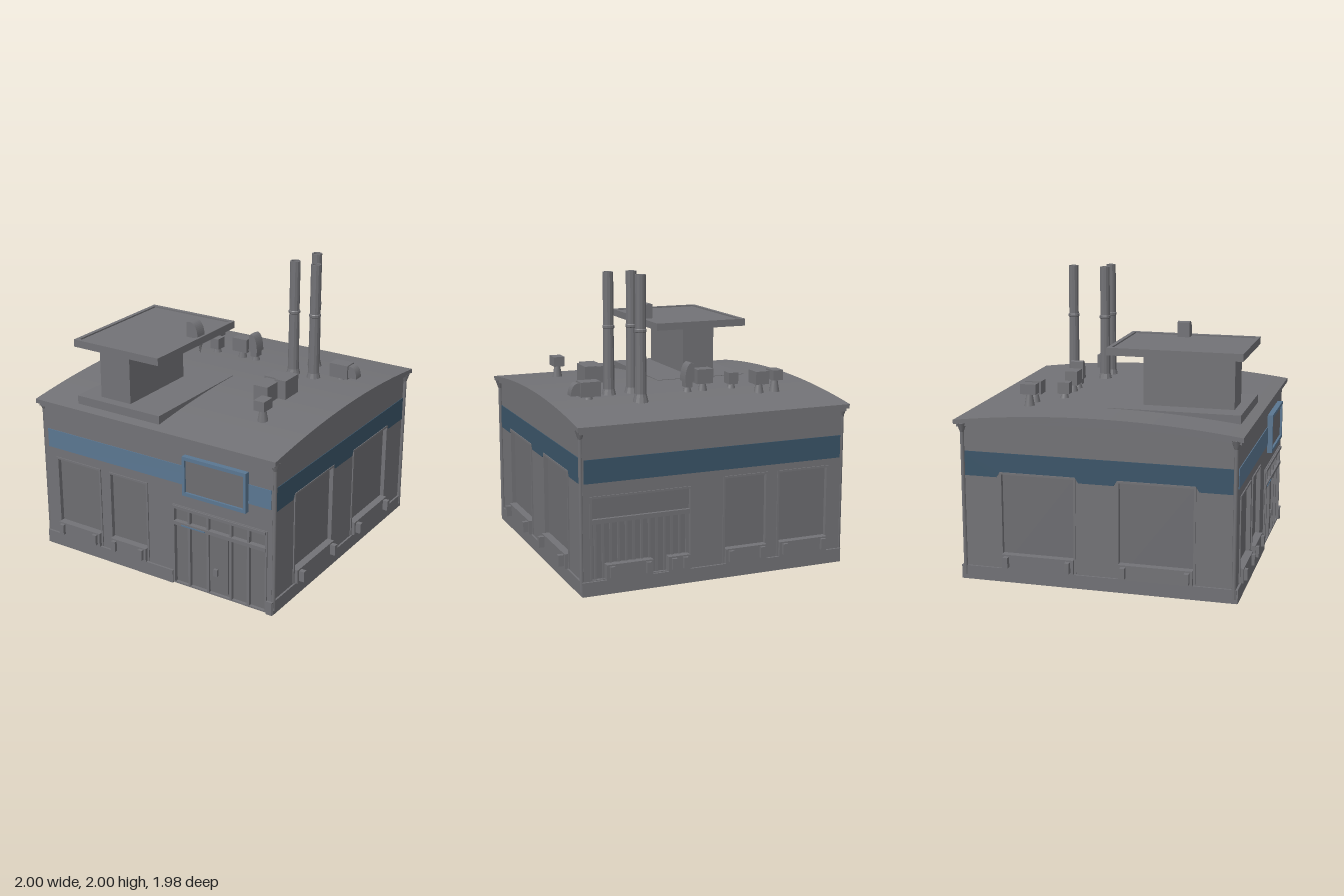
import * as THREE from 'three';

export function createModel() {
  const root = new THREE.Group();
  const mat = (name, color) => {
    const m = new THREE.MeshStandardMaterial({ color });
    m.name = name;
    return m;
  };
  const grey = mat('wall grey', 0x727276);
  const panelGrey = mat('panel grey', 0x6d6d71);
  const lightBlue = mat('front band blue', 0x5a7691);
  const darkBlue = mat('side band blue', 0x3a5468);

  const add = (parent, name, geo, m = grey) => {
    const mesh = new THREE.Mesh(geo, m);
    mesh.name = name;
    parent.add(mesh);
    return mesh;
  };
  // box given by its minimum and maximum on each axis
  const box = (parent, name, x0, x1, y0, y1, z0, z1, m) =>
    add(parent, name, new THREE.BoxGeometry(x1 - x0, y1 - y0, z1 - z0)
      .translate((x0 + x1) / 2, (y0 + y1) / 2, (z0 + z1) / 2), m);
  const poly = (pts) => new THREE.Shape(pts.map((p) => new THREE.Vector2(...p)));
  const extrude = (shape, depth) => new THREE.ExtrudeGeometry(shape, { depth, bevelEnabled: false });

  // shallow barrel roof, highest along x at z = 0
  const roofY = (z) => 1.178 - 0.064 * (z / 0.97) ** 2;
  const arc = (half, drop) => {
    const pts = [];
    for (let i = 0; i <= 20; i++) {
      const z = half - (2 * half * i) / 20;
      pts.push([z, roofY(z) - drop]);
    }
    return pts;
  };
  const acrossX = (pts, half) => extrude(poly(pts), 2 * half).rotateY(Math.PI / 2).translate(-half, 0, 0);

  add(root, 'core', acrossX([[-0.91, 0], [0.91, 0], ...arc(0.91, 0.03)], 0.9));
  const slab = (half, top, thick) => [...arc(half, top + thick).reverse(), ...arc(half, top)];
  add(root, 'roof', acrossX(slab(0.975, 0, 0.03), 0.967));
  add(root, 'cornice', acrossX(slab(0.96, 0.03, 0.022), 0.95));

  // one wall: outer skin with openings, recessed panels, sills and band
  function wall(name, angle, half, dist, arched, openings, sills) {
    const g = new THREE.Group();
    g.name = name;
    g.rotation.y = angle;
    root.add(g);
    const top = arched ? arc(half, 0.03) : [[half, 1.09], [-half, 1.09]];
    const shape = poly([[-half, 0], [half, 0], ...top]);
    for (const [x0, x1, y0, y1] of openings) {
      shape.holes.push(new THREE.Path([[x0, y0], [x0, y1], [x1, y1], [x1, y0]].map((p) => new THREE.Vector2(...p))));
    }
    add(g, 'wallSkin', extrude(shape, 0.04).translate(0, 0, dist - 0.04));
    for (const [x0, x1, y0, y1] of openings) {
      box(g, 'recessedPanel', x0, x1, y0, y1, dist - 0.045, dist - 0.022, panelGrey);
      // raised surround
      const t = 0.014;
      box(g, 'frameTop', x0 - t, x1 + t, y1, y1 + t, dist - 0.01, dist + 0.008);
      for (const x of [x0 - t, x1]) box(g, 'frameSide', x, x + t, y0, y1, dist - 0.01, dist + 0.008);
    }
    for (const [x0, x1] of sills) {
      box(g, 'sillBox', x0, x1, 0.1, 0.2, dist - 0.04, dist + 0.03);
      for (const x of [x0 + 0.018, x1 - 0.052]) {
        box(g, 'sillBracket', x, x + 0.034, 0.115, 0.19, dist, dist + (arched ? 0.068 : 0.052));
      }
    }
    return g;
  }

  // front wall
  const frontOpenings = [[-0.82, -0.46, 0.1, 0.68], [-0.36, -0.06, 0.1, 0.68]];
  const front = wall('frontWall', 0, 0.93, 0.937, false,
    [...frontOpenings, [0.17, 0.88, 0.01, 0.585]], frontOpenings);
  box(front, 'frontBand', -0.9, 0.92, 0.76, 0.895, 0.937, 0.942, lightBlue);
  box(front, 'plinth', -0.94, 0.155, 0, 0.095, 0.93, 0.952);
  box(front, 'plinthEnd', 0.895, 0.94, 0, 0.095, 0.93, 0.952);

  // glazed entrance: posts, transom and door leaf
  for (const x of [0.275, 0.425, 0.605, 0.74]) box(front, 'doorPost', x, x + 0.018, 0.01, 0.585, 0.9, 0.94);
  box(front, 'transom', 0.165, 0.885, 0.452, 0.478, 0.9, 0.95);
  box(front, 'transomStripe', 0.23, 0.42, 0.456, 0.465, 0.95, 0.954, lightBlue);
  box(front, 'canopyRail', 0.16, 0.885, 0.575, 0.595, 0.9, 0.955);
  box(front, 'doorLeaf', 0.445, 0.585, 0.03, 0.44, 0.91, 0.927, panelGrey);
  box(front, 'doorHandle', 0.48, 0.51, 0.15, 0.2, 0.92, 0.945);

  // framed board above the entrance
  box(front, 'boardPanel', 0.28, 0.735, 0.715, 0.96, 0.937, 0.96, panelGrey);
  for (const y of [0.7, 0.955]) box(front, 'boardFrame', 0.26, 0.75, y, y + 0.025, 0.937, 0.975, lightBlue);
  for (const x of [0.26, 0.73]) box(front, 'boardFrame', x, x + 0.02, 0.725, 0.955, 0.937, 0.975, lightBlue);

  // back wall; local x runs opposite to world x
  const backWindows = [[0.46, 0.82, 0.1, 0.68], [0.06, 0.36, 0.1, 0.68]];
  const back = wall('backWall', Math.PI, 0.93, 0.937, false,
    [...backWindows, [-0.87, -0.19, 0.1, 0.64]], [...backWindows, [-0.78, -0.46], [-0.35, -0.2]]);
  box(back, 'backBand', -0.92, 0.92, 0.74, 0.895, 0.937, 0.942, darkBlue);
  box(back, 'plinth', -0.94, 0.94, 0, 0.095, 0.93, 0.952);
  box(back, 'shutterRail', -0.87, -0.19, 0.47, 0.5, 0.9, 0.937);
  for (let i = 0; i < 13; i++) {
    const x = -0.85 + i * 0.053;
    box(back, 'shutterRib', x, x + 0.014, 0.1, 0.47, 0.9, 0.926);
  }

  // side walls, with a band that steps up over the windows
  for (const s of [1, -1]) {
    const windows = [[-0.655, -0.155, 0.1, 0.752], [0.155, 0.655, 0.1, 0.752]];
    const side = wall(s > 0 ? 'leftWall' : 'rightWall', s * Math.PI / 2, 0.93, 0.93, true, windows, windows);
    const band = poly([[-0.935, 0.73], [-0.69, 0.73], [-0.665, 0.768], [-0.145, 0.768], [-0.12, 0.73],
      [0.12, 0.73], [0.145, 0.768], [0.665, 0.768], [0.69, 0.73], [0.935, 0.73], [0.935, 0.898], [-0.935, 0.898]]);
    add(side, 'sideBand', extrude(band, 0.005).translate(0, 0, 0.93), darkBlue);
    box(side, 'plinth', -0.945, 0.945, 0, 0.095, 0.92, 0.943);
    // corner downpipes with hoppers
    for (const x of [-0.925, 0.925]) {
      add(side, 'downpipe', new THREE.CylinderGeometry(0.014, 0.014, 1.05, 8).translate(x, 0.555, 0.937));
      add(side, 'hopper', new THREE.CylinderGeometry(0.035, 0.014, 0.06, 8).translate(x, 1.06, 0.937));
    }
  }

  // flat curb, pillar and large top tray
  box(root, 'roofCurb', -0.65, 0.03, 1.1, 1.182, 0, 0.9);
  box(root, 'pillar', -0.5, -0.255, 1.14, 1.55, 0.21, 0.83);
  box(root, 'trayDeck', -0.64, 0.03, 1.54, 1.578, 0.005, 0.9);
  for (const z of [-0.005, 0.88]) box(root, 'trayRim', -0.655, 0.037, 1.537, 1.588, z, z + 0.028);
  for (const x of [-0.655, 0.009]) box(root, 'trayRim', x, x + 0.028, 1.537, 1.588, 0.023, 0.88);

  // chimneys
  const stack = [[0.055, 0], [0.04, 0.06], [0.036, 0.47], [0.041, 0.475], [0.041, 0.49], [0.036, 0.495],
    [0.036, 0.85], [0.026, 0.85], [0.026, 0.78], [0, 0.78]].map((p) => new THREE.Vector2(...p));
  for (const [x, z] of [[0.38, -0.55], [0.348, -0.3], [0.513, -0.3]]) {
    const geo = new THREE.LatheGeometry(stack, 12).toNonIndexed();
    geo.computeVertexNormals();
    add(root, 'chimney', geo.translate(x, 1.15, z));
  }

  // curved vent hoods
  function cowl(x, y, z, w, h, d) {
    const s = new THREE.Shape();
    s.moveTo(0, 0);
    s.lineTo(w, 0);
    s.bezierCurveTo(w, h * 0.6, w * 0.7, h, w * 0.3, h);
    s.lineTo(0, h * 0.95);
    add(root, 'ventHood', extrude(s, d).translate(x, y, z - d / 2));
  }
  cowl(-0.07, 1.575, 0.385, 0.09, 0.112, 0.085);
  cowl(-0.06, 1.24, -0.395, 0.07, 0.13, 0.09);
  cowl(0.75, 1.2, -0.39, 0.075, 0.085, 0.07);
  add(root, 'traySpout', new THREE.ConeGeometry(0.02, 0.085, 4).rotateX(Math.PI).translate(0.012, 1.5, 0.385));

  // rooftop units on short flared stems: x, z, width, depth, bottom, top
  const units = [
    [-0.61, -0.56, 0.075, 0.11, 1.24, 1.31], [-0.49, -0.56, 0.1, 0.115, 1.22, 1.31],
    [-0.36, -0.39, 0.07, 0.085, 1.2, 1.28], [-0.14, -0.395, 0.12, 0.09, 1.22, 1.32],
    [0.69, -0.39, 0.14, 0.1, 1.19, 1.29], [0.607, 0.54, 0.08, 0.105, 1.24, 1.31],
    [-0.025, -0.395, 0.05, 0.07, 1.2, 1.245],
  ];
  for (const [x, z, w, d, y0, y1] of units) {
    box(root, 'roofUnit', x - w / 2, x + w / 2, y0, y1, z - d / 2, z + d / 2);
    add(root, 'unitStem', new THREE.CylinderGeometry(0.022, 0.042, y0 - 1.13, 8).translate(x, (y0 + 1.13) / 2, z));
  }

  // air handler with its duct
  box(root, 'airHandler', 0.485, 0.572, 1.15, 1.31, 0.02, 0.19);
  box(root, 'airHandlerEnd', 0.385, 0.485, 1.19, 1.305, 0.03, 0.16);
  box(root, 'duct', 0.4, 0.51, 1.15, 1.295, 0.14, 0.325);

  return root;
}
